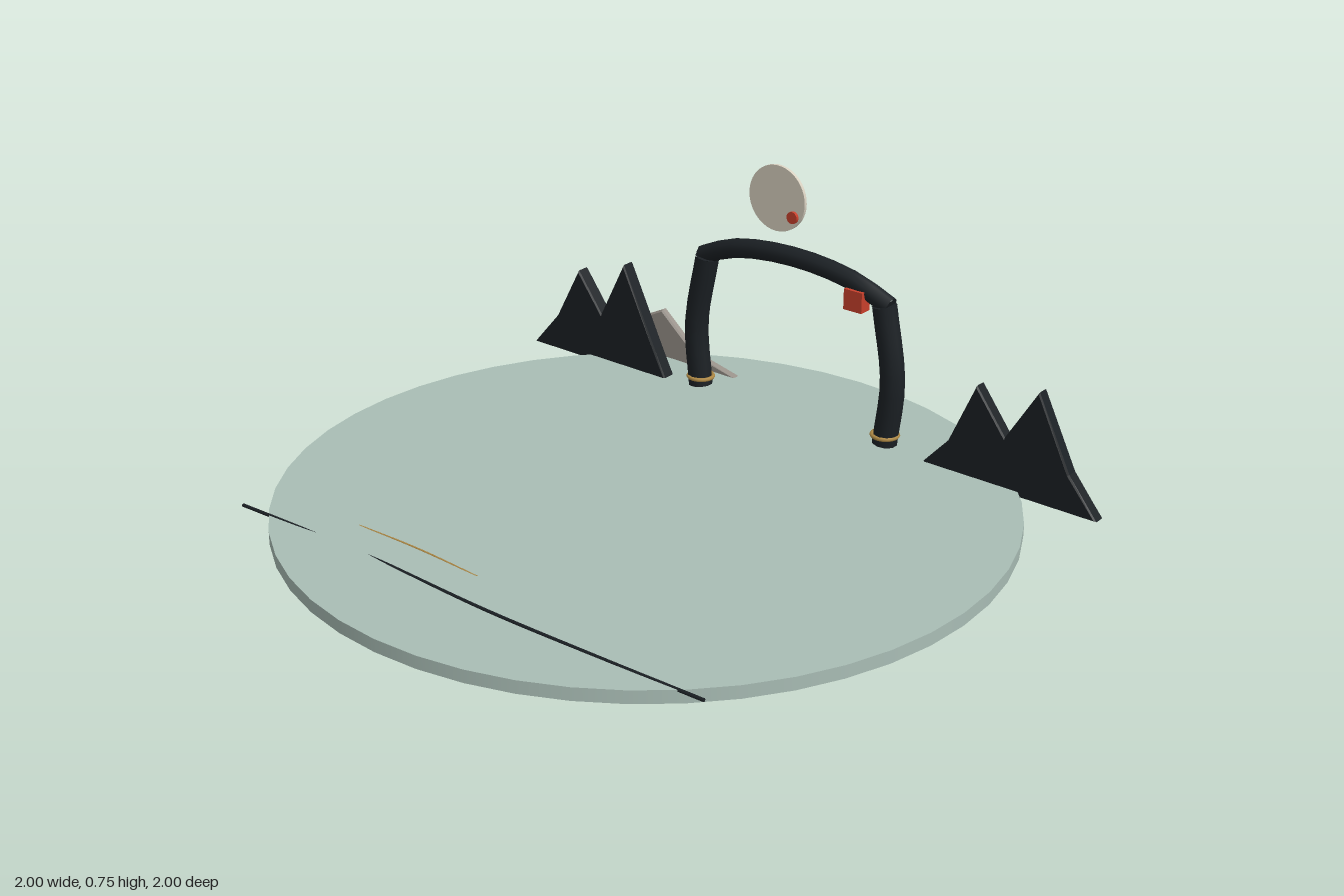
import * as THREE from 'three';

const mat = (color, flatShading = false) => new THREE.MeshStandardMaterial({ color, flatShading });
const INK = 0x1b2024, STONE = 0x99928a, GOLD = 0xb08a45, RED = 0xc8402c;

export function createModel() {
  const model = new THREE.Group();

  const add = (name, geometry, color, position = [0, 0, 0], flat = false) => {
    const mesh = new THREE.Mesh(geometry, mat(color, flat));
    mesh.name = name;
    mesh.position.set(...position);
    model.add(mesh);
    return mesh;
  };

  // Upright slab cut to a ridge outline, with slightly bevelled edges
  const ridge = (name, outline, zBack, zFront, color) => {
    const bevel = 0.005;
    const geometry = new THREE.ExtrudeGeometry(
      new THREE.Shape(outline.map(([x, y]) => new THREE.Vector2(x, y))),
      { depth: zFront - zBack - 2 * bevel, bevelSize: bevel, bevelOffset: -bevel, bevelThickness: bevel, bevelSegments: 1 });
    add(name, geometry, color, [0, 0, zBack + bevel], true);
  };

  // Tube through a few points, closed at both ends
  const rod = (name, points, radius, color, segments, sides) => {
    const curve = new THREE.CatmullRomCurve3(points.map(p => new THREE.Vector3(...p)));
    add(name, new THREE.TubeGeometry(curve, segments, radius, sides), color);
    for (const t of [0, 1]) {
      const cap = add(name + 'Cap', new THREE.CircleGeometry(radius, sides), color, points[t ? points.length - 1 : 0]);
      const out = curve.getTangent(t).multiplyScalar(t ? 1 : -1);
      cap.quaternion.setFromUnitVectors(new THREE.Vector3(0, 0, 1), out);
    }
  };

  // Round base plate
  add('basePlate', new THREE.CylinderGeometry(1, 1, 0.036, 48), 0xa9bdb5, [0, 0.018, 0]);

  // Twin-peaked mountains on either side and a low hill behind
  ridge('rightMountain', [[-0.995, 0.02], [-0.9, 0.13], [-0.81, 0.3], [-0.72, 0.18],
    [-0.63, 0.36], [-0.51, 0.12], [-0.46, 0.02]], -0.69, -0.645, INK);
  ridge('leftMountain', [[0.435, 0.02], [0.525, 0.12], [0.605, 0.305], [0.7, 0.18],
    [0.795, 0.338], [0.9, 0.13], [0.99, 0.02]], -0.695, -0.655, INK);
  ridge('distantHill', [[-1, 0.035], [-0.94, 0.085], [-0.75, 0.105], [-0.59, 0.186],
    [-0.46, 0.075], [-0.305, 0.035]], -0.805, -0.78, STONE);

  // Arch: two bowed legs with gold ankle rings, and a curved beam
  for (const s of [-1, 1]) {
    const side = s < 0 ? 'right' : 'left';
    rod(side + 'Leg', [[s * 0.328, 0.06, -0.645], [s * 0.345, 0.25, -0.645], [s * 0.308, 0.465, -0.645]],
      0.036, INK, 8, 10);
    const ring = add(side + 'LegRing', new THREE.TorusGeometry(0.037, 0.006, 6, 24), GOLD, [s * 0.328, 0.085, -0.645]);
    ring.rotation.x = Math.PI / 2;
  }
  rod('archBeam', [[-0.325, 0.465, -0.648], [-0.22, 0.51, -0.642], [-0.08, 0.535, -0.636],
    [0.08, 0.535, -0.636], [0.22, 0.51, -0.64], [0.325, 0.465, -0.646]], 0.028, INK, 10, 10);

  // Red block hanging from the beam
  add('redBlock', new THREE.BoxGeometry(0.06, 0.06, 0.04), RED, [0.23, 0.47, -0.624]);

  // Pale sun disc with a small red dot
  const sun = add('sunDisc', new THREE.CylinderGeometry(0.098, 0.098, 0.01, 40), 0xd8d0c0, [-0.14, 0.65, -0.752]);
  sun.rotation.x = Math.PI / 2;
  const dot = add('sunDot', new THREE.CylinderGeometry(0.018, 0.018, 0.01, 16), RED, [-0.08, 0.606, -0.743]);
  dot.rotation.x = Math.PI / 2;

  // Thin ground lines, partly sunk into the plate
  rod('darkGroundLine', [[-0.785, 0.034, 0.728], [-0.54, 0.032, 0.716], [-0.42, 0.027, 0.708],
    [-0.3, 0.032, 0.713], [0.1, 0.037, 0.732], [0.45, 0.036, 0.725], [0.765, 0.033, 0.711]], 0.005, INK, 40, 6);
  rod('goldGroundLine', [[-0.46, 0.034, 0.613], [-0.25, 0.036, 0.61], [-0.03, 0.034, 0.618]], 0.003, GOLD, 20, 6);

  return model;
}
